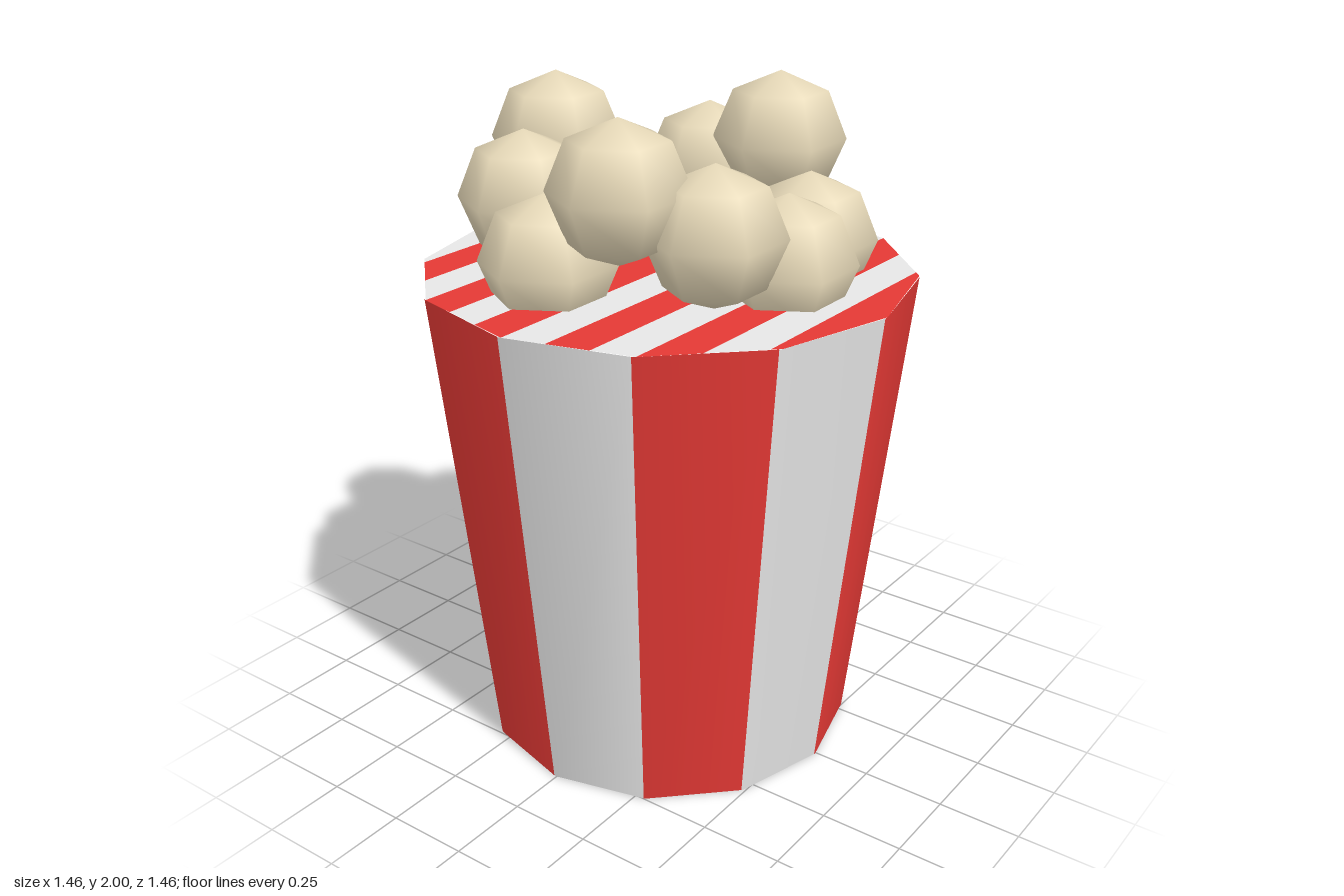
import * as THREE from 'three';

const RT = 0.73, RB = 0.57, H = 1.47, SIDES = 12;
const STEP = (Math.PI * 2) / SIDES;

function material(name, color) {
  const m = new THREE.MeshStandardMaterial({ color });
  m.name = name;
  return m;
}

function addMesh(parent, name, geometry, mat) {
  const mesh = new THREE.Mesh(geometry, mat);
  mesh.name = name;
  parent.add(mesh);
  return mesh;
}

// Half depth of the twelve-sided disc at a given x
function halfDepth(x, r) {
  const a = Math.acos(THREE.MathUtils.clamp(x / r, -1, 1));
  const k = Math.min(Math.floor(a / STEP + 1e-6), SIDES / 2 - 1);
  const xa = r * Math.cos(k * STEP), xb = r * Math.cos((k + 1) * STEP);
  const za = r * Math.sin(k * STEP), zb = r * Math.sin((k + 1) * STEP);
  return za + ((zb - za) * (x - xa)) / (xb - xa);
}

// One straight stripe of the disc, cut to the outline
function discStripe(x0, x1, r) {
  const corners = [];
  for (let k = SIDES / 2; k >= 0; k--) corners.push(r * Math.cos(k * STEP));
  const xs = [x0, ...corners.filter((x) => x > x0 + 1e-4 && x < x1 - 1e-4), x1];
  const front = xs.map((x) => new THREE.Vector2(x, -halfDepth(x, r)));
  const back = xs.map((x) => new THREE.Vector2(x, halfDepth(x, r))).reverse();
  return new THREE.ShapeGeometry(new THREE.Shape([...front, ...back]));
}

function stripedDisc(name, r, y, up, mats) {
  const disc = new THREE.Group();
  disc.name = name;
  const w = (2 * r) / SIDES;
  for (let i = 0; i < SIDES; i++) {
    const x = -r + i * w;
    addMesh(disc, 'discStripe', discStripe(x, x + w, r), mats[i % 2]);
  }
  disc.rotation.x = up ? -Math.PI / 2 : Math.PI / 2;
  disc.position.y = y;
  return disc;
}

export function createModel() {
  const white = material('white', 0xffffff);
  const red = material('red', 0xe53935);
  const cream = material('cream', 0xfff0cc);
  const mats = [white, red];
  const model = new THREE.Group();
  model.name = 'popcornBucket';

  // Tapered wall: alternating facets, each stripe starting just before its corner
  const wall = new THREE.Group();
  wall.name = 'bucketWall';
  const lead = STEP * 0.03;
  const panel = (start, length, mat) => {
    const g = new THREE.CylinderGeometry(RT, RB, H, 1, 1, true, start, length);
    g.translate(0, H / 2, 0);
    addMesh(wall, 'wallStripe', g, mat);
  };
  for (let i = 0; i < SIDES; i++) {
    panel(i * STEP, STEP - lead, mats[i % 2]);
    panel((i + 1) * STEP - lead, lead, mats[(i + 1) % 2]);
  }
  model.add(wall);

  // Striped lid and base
  model.add(stripedDisc('bucketTop', RT, H, true, mats));
  model.add(stripedDisc('bucketBase', RB, 0, false, mats));

  // Ring of popcorn at three repeating heights
  const popcorn = new THREE.Group();
  popcorn.name = 'popcorn';
  const kernel = new THREE.SphereGeometry(0.2, 6, 4).rotateY(Math.PI / 2);
  for (let i = 0; i < 10; i++) {
    const a = (i / 10) * Math.PI * 2;
    const piece = addMesh(popcorn, 'popcornPiece', kernel, cream);
    piece.position.set(0.41 * Math.cos(a), 1.56 + 0.12 * (i % 3), 0.41 * Math.sin(a));
  }
  model.add(popcorn);
  return model;
}
